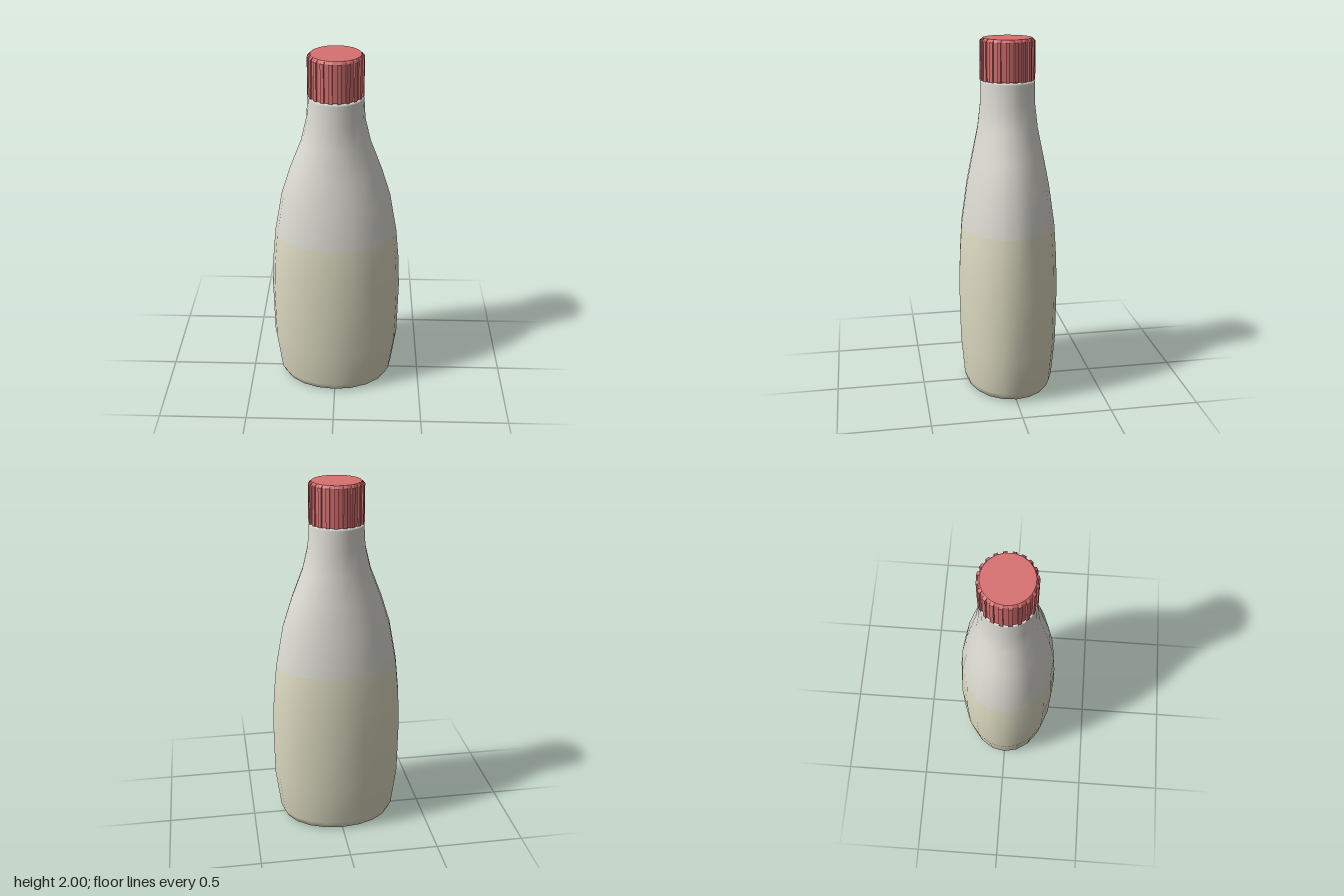
import * as THREE from 'three';

// Joins rings of points (same count, bottom to top) into a skin; ring spans may be split by row.
function loftIndex(count, from, to) {
  const index = [];
  for (let r = from; r < to; r++) {
    for (let i = 0; i < count; i++) {
      const j = (i + 1) % count;
      const a = r * count + i, b = r * count + j;
      index.push(a, b, b + count, a, b + count, a + count);
    }
  }
  return index;
}

function loft(rings) {
  const g = new THREE.BufferGeometry();
  g.setAttribute('position', new THREE.Float32BufferAttribute(rings.flat(2), 3));
  g.setIndex(loftIndex(rings[0].length, 0, rings.length - 1));
  return g;
}

const ellipse = (rx, rz, y, n) => Array.from({ length: n }, (_, i) => {
  const a = (i / n) * Math.PI * 2;
  return [rx * Math.sin(a), y, rz * Math.cos(a)];
});

// Grooved outline: each of the teeth has a groove centred on its angle, then a ridge.
const grooved = (rIn, rOut, y, teeth) => {
  const step = (Math.PI * 2) / teeth, pts = [];
  for (let i = 0; i < teeth; i++) {
    for (const [f, r] of [[-0.27, rIn], [0.27, rIn], [0.29, rOut], [0.71, rOut]]) {
      const a = (i + f) * step;
      pts.push([r * Math.sin(a), y, r * Math.cos(a)]);
    }
  }
  return pts;
};

export function createModel() {
  const model = new THREE.Group();
  const material = (color) => new THREE.MeshStandardMaterial({ color });

  // Oval bottle: [y, half width, half depth], from the hollowed base to the neck rim
  const profile = [
    [0.02, 0, 0], [0.02, 0.24, 0.18], [0.0, 0.275, 0.21],
    [0.0, 0.292, 0.226], [0.012, 0.315, 0.243], [0.05, 0.335, 0.255],
    [0.28, 0.366, 0.275], [0.6, 0.37, 0.28], [0.78, 0.362, 0.274],
    [0.97, 0.343, 0.262], [1.2, 0.301, 0.229], [1.36, 0.25, 0.198],
    [1.52, 0.188, 0.166], [1.65, 0.157, 0.151], [1.765, 0.15, 0.15],
    [1.775, 0.146, 0.146], [1.775, 0, 0],
  ];
  const sides = 20, fillRow = 9;
  const skin = loft(profile.map(([y, rx, rz]) => ellipse(rx, rz, y, sides)));
  skin.computeVertexNormals();

  // Lower filled part and clear upper part share one smooth skin
  const addPart = (name, from, to, color) => {
    const part = skin.clone();
    part.setIndex(loftIndex(sides, from, to));
    const mesh = new THREE.Mesh(part, material(color));
    mesh.name = name;
    model.add(mesh);
  };
  addPart('filledBody', 0, fillRow, 0xdcdac0);
  addPart('shoulderAndNeck', fillRow, profile.length - 1, 0xdcdbd3);

  // Screw cap with vertical grooves and a bevelled top edge
  const teeth = 20, n = teeth * 4;
  const capGeometry = loft([
    grooved(0, 0, 1.778, teeth),
    grooved(0.141, 0.15, 1.778, teeth),
    grooved(0.141, 0.15, 1.985, teeth),
    grooved(0.133, 0.133, 2.0, teeth),
    ellipse(0, 0, 2.0, n),
  ]).toNonIndexed();
  capGeometry.computeVertexNormals();
  const cap = new THREE.Mesh(capGeometry, material(0xd87070));
  cap.name = 'screwCap';
  model.add(cap);

  return model;
}
